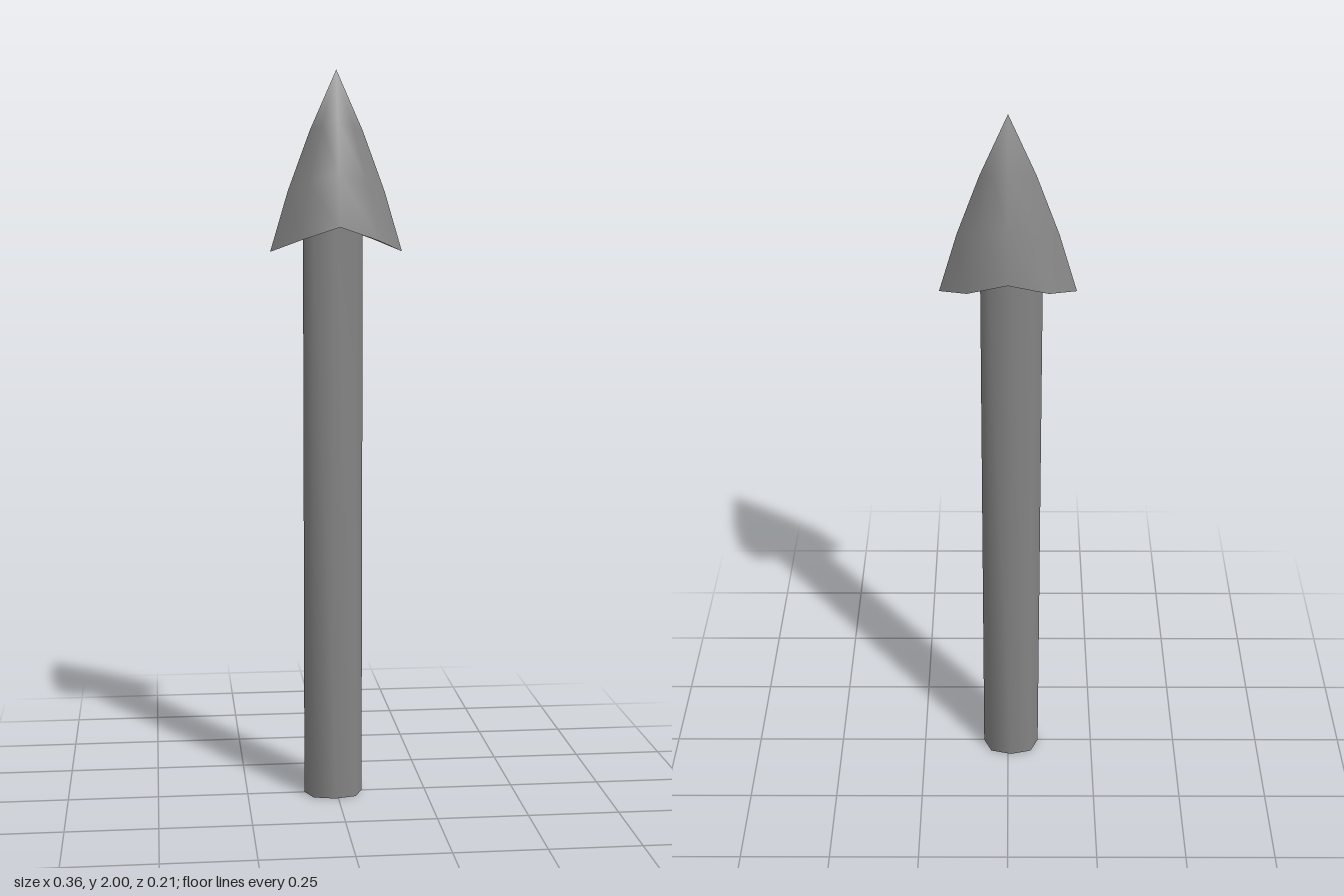
import * as THREE from 'three';
import { mergeVertices } from 'three/addons/utils/BufferGeometryUtils.js';

const material = new THREE.MeshStandardMaterial({ color: 0x848484, side: THREE.DoubleSide });

// Half shell facing +z: smooth inside, with sharp seams where two halves meet.
// point(column, t) gives a vertex, t running from top (0) to bottom (1).
function halfShell(columns, rings, pointed, point) {
  const positions = [], index = [];
  for (let j = 0; j <= rings; j++) {
    for (const column of columns) positions.push(...point(column, j / rings));
  }
  const n = columns.length;
  for (let j = 0; j < rings; j++) {
    for (let i = 0; i < n - 1; i++) {
      const a = j * n + i, b = a + n;
      index.push(a, b, b + 1);
      // A pointed top has only one triangle per column
      if (j > 0 || !pointed) index.push(a, b + 1, a + 1);
    }
  }
  const geometry = new THREE.BufferGeometry();
  geometry.setAttribute('position', new THREE.Float32BufferAttribute(positions, 3));
  geometry.setIndex(index);
  // Share the tip so that the shading runs smoothly into it
  const merged = mergeVertices(geometry);
  merged.computeVertexNormals();
  return merged;
}

// Front half plus the same half turned round to the back
function bothHalves(name, geometry) {
  const group = new THREE.Group();
  group.name = name;
  ['Front', 'Back'].forEach((side, k) => {
    const mesh = new THREE.Mesh(geometry, material);
    mesh.name = name + side;
    mesh.rotation.y = k * Math.PI;
    group.add(mesh);
  });
  return group;
}

export function createModel() {
  const model = new THREE.Group();
  model.name = 'arrow';

  // Hollow shaft, open at the bottom and set slightly off centre
  const shaftColumns = [[-0.081, 0], [-0.059, 0.05], [0, 0.065], [0.059, 0.05], [0.081, 0]];
  const shaft = bothHalves('shaft', halfShell(shaftColumns, 1, false, ([x, z], t) => [x, 1.62 * (1 - t), z]));
  shaft.position.set(-0.009, 0, -0.001);
  model.add(shaft);

  // Bulging hollow head; each column is x, z and the height of the rim
  const headColumns = [
    [-0.179, 0, 1.517], [-0.105, 0.08, 1.549], [0, 0.107, 1.585], [0.105, 0.08, 1.549], [0.179, 0, 1.517],
  ];
  model.add(bothHalves('head', halfShell(headColumns, 3, true, ([x, z, rim], t) => {
    const spread = t + 0.3 * t * (1 - t);
    return [x * spread, 2 - (2 - rim) * t, z * spread];
  })));

  return model;
}
